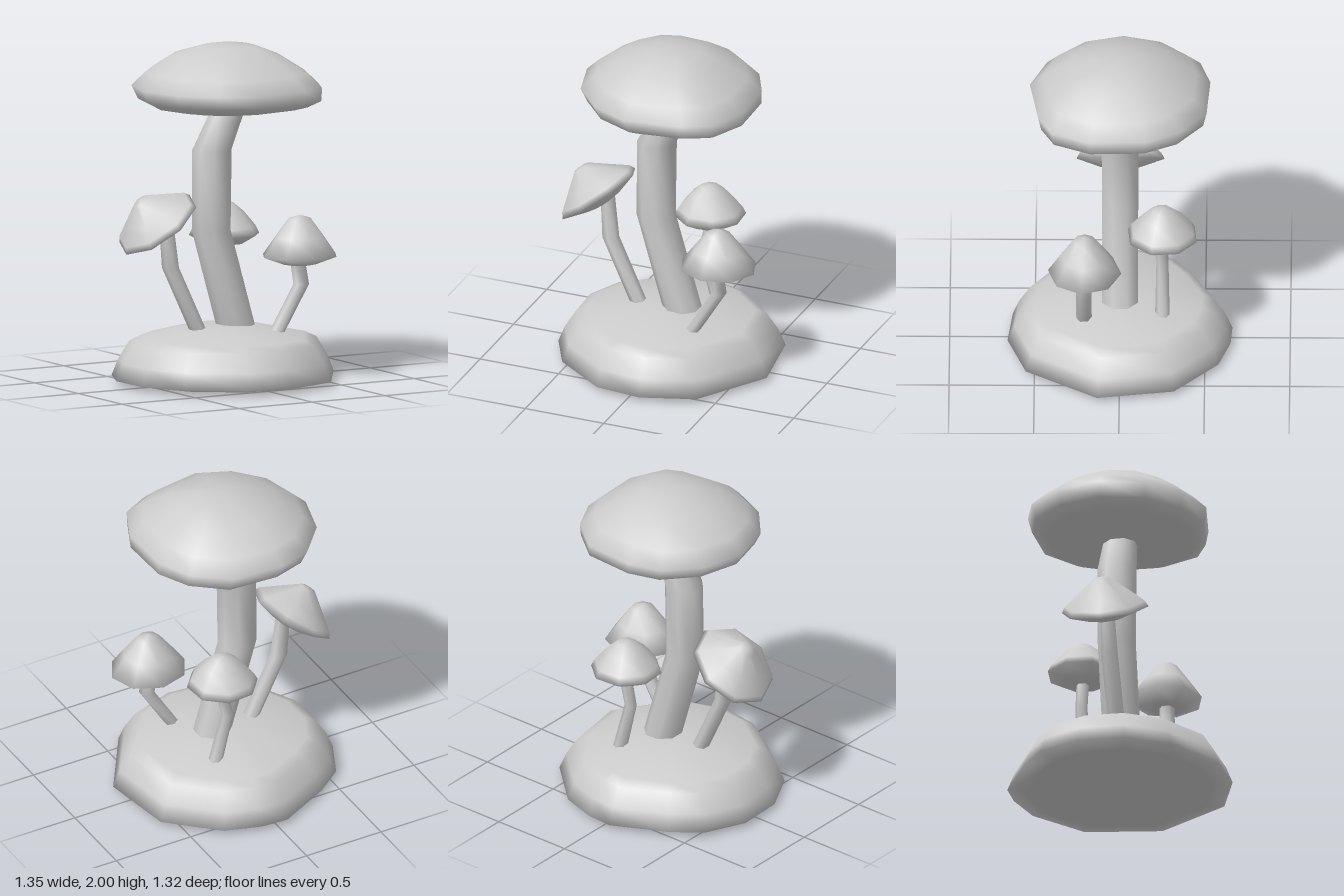
import * as THREE from 'three';
import { mergeVertices } from 'three/addons/utils/BufferGeometryUtils.js';

const material = new THREE.MeshStandardMaterial({ color: 0xcccccc });

// Regular outline of unit radius as [x, z] pairs, optionally squashed in z
const polygon = (n, turn = 0, depth = 1) => Array.from({ length: n }, (_, i) => {
  const a = ((i + turn) / n) * Math.PI * 2;
  return [Math.cos(a), Math.sin(a) * depth];
});

// Skin scaled copies of an outline; rings run bottom to top as [scale, y, centreX, centreZ]
function loft(name, outline, rings) {
  const n = outline.length, positions = [], index = [];
  for (const [s, y, cx = 0, cz = 0] of rings) {
    for (const [x, z] of outline) positions.push(cx + x * s, y, cz + z * s);
  }
  for (let i = 0; i < rings.length - 1; i++) {
    for (let j = 0; j < n; j++) {
      const k = (j + 1) % n;
      const a = i * n + j, b = i * n + k, c = a + n, d = b + n;
      if (rings[i + 1][0] > 0) index.push(a, c, d);
      if (rings[i][0] > 0) index.push(a, d, b);
    }
  }
  let geometry = new THREE.BufferGeometry();
  geometry.setAttribute('position', new THREE.Float32BufferAttribute(positions, 3));
  geometry.setIndex(index);
  geometry = mergeVertices(geometry, 1e-5);
  geometry.computeVertexNormals();
  const mesh = new THREE.Mesh(geometry, material);
  mesh.name = name;
  return mesh;
}

// Crooked stem plus a cap that may lean over
function mushroom(name, { stem, stemSides = 6, outline, cap, at, tilt = 0 }) {
  const group = new THREE.Group();
  group.name = name;
  const stemMesh = loft('stem', polygon(stemSides, 0.5), stem);
  const capMesh = loft('cap', outline, cap);
  capMesh.position.set(...at);
  capMesh.rotation.z = tilt;
  group.add(stemMesh, capMesh);
  return group;
}

export function createModel() {
  const model = new THREE.Group();
  model.name = 'mushroomCluster';

  // Irregular mound of earth
  const moundOutline = [
    [-0.66, -0.13], [-0.55, -0.37], [-0.38, -0.5], [-0.06, -0.66], [0.1, -0.65],
    [0.32, -0.58], [0.6, -0.32], [0.67, 0.13], [0.4, 0.55], [0.08, 0.66],
    [-0.2, 0.63], [-0.52, 0.4], [-0.65, 0.15],
  ];
  model.add(loft('mound', moundOutline, [
    [0, 0], [0.82, 0.008], [1, 0.03], [0.94, 0.13], [0.84, 0.237], [0.74, 0.27], [0.42, 0.318], [0.18, 0.334], [0, 0.337],
  ]));

  // Tall mushroom in the middle
  const bigOutline = [
    [-0.54, -0.02], [-0.47, -0.28], [-0.3, -0.47], [-0.1, -0.53], [0.22, -0.51],
    [0.42, -0.35], [0.52, -0.15], [0.53, 0.18], [0.43, 0.4], [0.27, 0.48],
    [-0.07, 0.53], [-0.3, 0.43], [-0.47, 0.24],
  ];
  model.add(mushroom('tallMushroom', {
    stem: [[0.115, 0.25, 0.1], [0.115, 0.33, 0.075], [0.115, 0.9, -0.09], [0.117, 1.38, -0.085], [0.1, 1.63, 0.035]],
    stemSides: 8,
    outline: bigOutline,
    at: [0, 1.59, 0],
    cap: [[0, 0], [0.45, 0.015], [0.82, 0.045, 0.02], [0.96, 0.085, 0.02], [1, 0.165], [0.85, 0.245], [0.57, 0.345], [0.28, 0.398, 0.03], [0, 0.41, 0.01]],
  }));

  // Leaning mushroom on the right-hand side
  model.add(mushroom('leaningMushroom', {
    stem: [[0.05, 0.25, -0.16, 0.02], [0.05, 0.32, -0.195, 0.02], [0.05, 0.7, -0.375, 0.01], [0.042, 0.98, -0.4, 0]],
    outline: polygon(8, 0, 0.96),
    at: [-0.455, 0.96, 0],
    tilt: 0.64,
    cap: [[0, -0.07], [0.12, -0.05], [0.27, 0], [0.25, 0.035], [0.16, 0.105], [0.05, 0.19], [0, 0.197]],
  }));

  // Short mushroom at the front
  model.add(mushroom('frontMushroom', {
    stem: [[0.046, 0.25, 0.2, 0.21], [0.046, 0.31, 0.24, 0.21], [0.046, 0.57, 0.4, 0.21], [0.044, 0.72, 0.375, 0.21]],
    outline: polygon(8, 0.1, 0.92),
    at: [0.393, 0.68, 0.205],
    cap: [[0, 0], [0.1, 0.01], [0.235, 0.06], [0.155, 0.17], [0.07, 0.28], [0, 0.302]],
  }));

  // Short mushroom at the back
  model.add(mushroom('backMushroom', {
    stem: [[0.042, 0.25, 0.21, -0.25], [0.042, 0.33, 0.185, -0.25], [0.036, 0.6, 0.115, -0.25], [0.038, 0.82, 0.165, -0.25]],
    outline: polygon(8, 0.4),
    at: [0.148, 0.765, -0.25],
    cap: [[0, 0], [0.12, 0.012], [0.212, 0.065], [0.19, 0.11], [0.12, 0.195], [0.055, 0.25], [0, 0.258]],
  }));

  return model;
}
